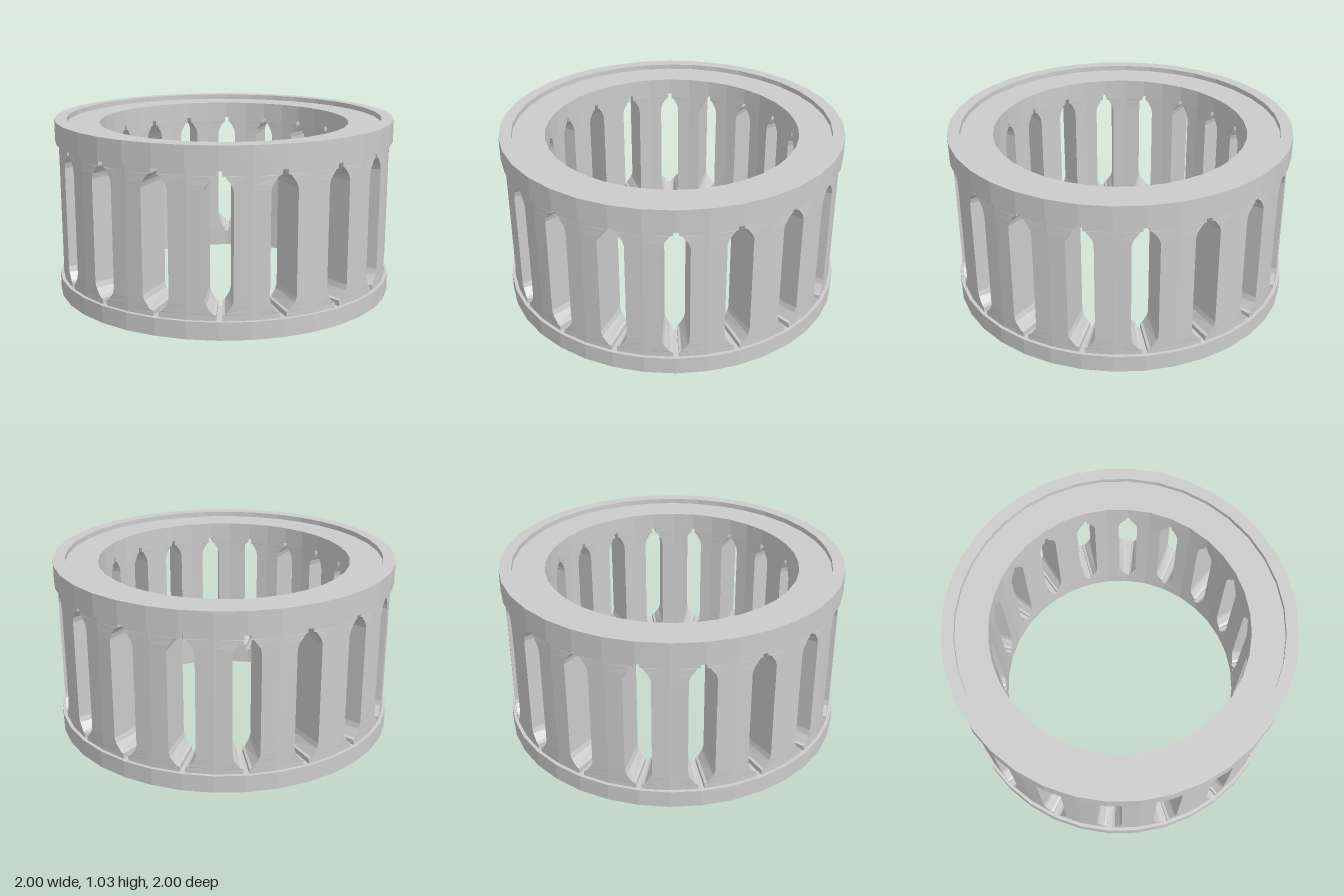
import * as THREE from 'three';

const SLOTS = 18, INNER = 0.74, WALL = 0.98;
const material = new THREE.MeshStandardMaterial({ color: 0xcccccc, flatShading: true });

// Closed ring turned from a profile of [radius, y] points
function ring(name, profile) {
  const points = [...profile, profile[0]].map(([r, y]) => new THREE.Vector2(r, y));
  const mesh = new THREE.Mesh(new THREE.LatheGeometry(points, 36), material);
  mesh.name = name;
  return mesh;
}

// Half width of a slot (at the outer wall) by height: narrow neck, shoulder, straight side
const lower = [[0.1, 0.016], [0.13, 0.016], [0.135, 0.032], [0.18, 0.066], [0.21, 0.075]];
const rows = [...lower, ...lower.map(([y, w]) => [1 - y, w]).reverse()];

// Post between two slots: a box bent round the axis with radial side walls
function postGeometry() {
  const n = rows.length - 1;
  const geometry = new THREE.BoxGeometry(2, n, 1, 2, n, 1);
  const p = geometry.attributes.position;
  for (let i = 0; i < p.count; i++) {
    const [y, slotHalf] = rows[Math.round(p.getY(i) + n / 2)];
    const angle = p.getX(i) * (Math.PI / SLOTS - slotHalf / WALL);
    const r = p.getZ(i) > 0 ? WALL : INNER;
    p.setXYZ(i, r * Math.sin(angle), y, r * Math.cos(angle));
  }
  geometry.computeVertexNormals();
  return geometry;
}

export function createModel() {
  const model = new THREE.Group();
  model.name = 'rollerCage';

  model.add(ring('bottomRing', [[1, 0], [1, 0.1], [INNER, 0.1], [INNER, 0]]));
  // Top ring with a raised outer lip
  model.add(ring('topRing', [
    [1, 0.9], [1, 1.03], [0.93, 1.03], [0.93, 1], [INNER, 1], [INNER, 0.9],
  ]));

  // Posts spaced evenly, leaving the slots between them
  const geometry = postGeometry();
  const posts = new THREE.Group();
  posts.name = 'posts';
  for (let i = 0; i < SLOTS; i++) {
    const post = new THREE.Mesh(geometry, material);
    post.name = 'post';
    post.rotation.y = (i * 2 * Math.PI) / SLOTS;
    posts.add(post);
  }
  model.add(posts);
  return model;
}
